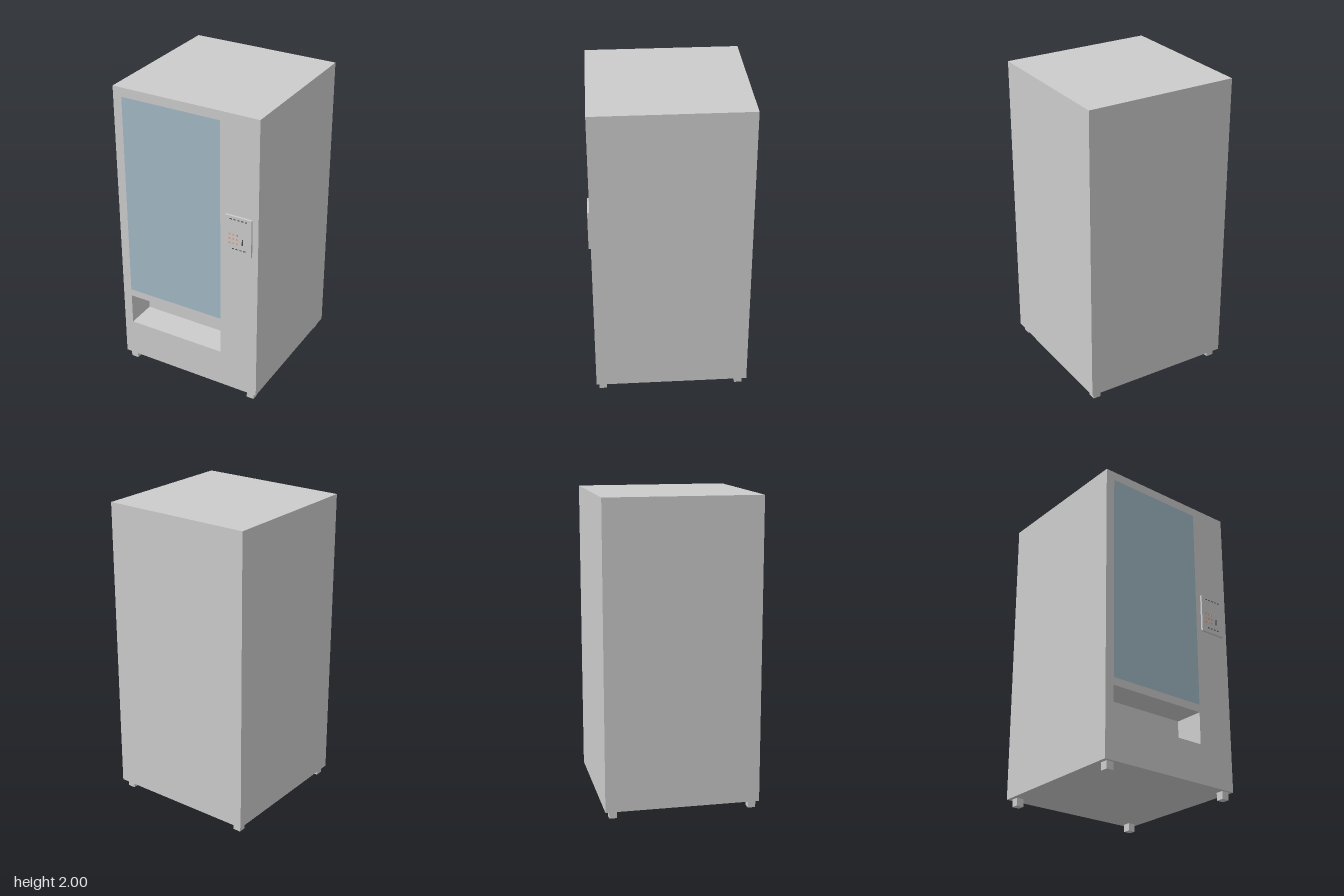
import * as THREE from 'three';

const grey = new THREE.MeshStandardMaterial({ color: 0xcccccc });
const glassBlue = new THREE.MeshStandardMaterial({ color: 0xa3b9c6 });
const orange = new THREE.MeshStandardMaterial({ color: 0xe0a080 });
const dark = new THREE.MeshStandardMaterial({ color: 0x444a4e });

const FRONT = 0.49, BACK = -0.505, BOTTOM = 0.05, TOP = 2;
const TRAY = { x0: -0.44, x1: 0.24, y0: 0.305, y1: 0.515, depth: 0.2 };

// box given by its limits on each axis
function box(name, [x0, x1], [y0, y1], [z0, z1], material = grey) {
  const mesh = new THREE.Mesh(new THREE.BoxGeometry(x1 - x0, y1 - y0, z1 - z0), material);
  mesh.position.set((x0 + x1) / 2, (y0 + y1) / 2, (z0 + z1) / 2);
  mesh.name = name;
  return mesh;
}

// remove the +z side of a box
function openFront(mesh) {
  const index = Array.from(mesh.geometry.index.array);
  index.splice(24, 6);
  mesh.geometry.clearGroups();
  mesh.geometry.setIndex(index);
  return mesh;
}

function rectangle(path, x0, x1, y0, y1) {
  path.moveTo(x0, y0);
  path.lineTo(x1, y0);
  path.lineTo(x1, y1);
  path.lineTo(x0, y1);
  path.closePath();
  return path;
}

export function createModel() {
  const model = new THREE.Group();
  model.name = 'vendingMachine';

  // cabinet sides, top, bottom and back
  model.add(openFront(box('cabinet', [-0.5, 0.5], [BOTTOM, TOP], [BACK, FRONT])));

  // front sheet with the collection opening cut out
  const sheet = rectangle(new THREE.Shape(), -0.5, 0.5, BOTTOM, TOP);
  sheet.holes.push(rectangle(new THREE.Path(), TRAY.x0, TRAY.x1, TRAY.y0, TRAY.y1));
  const front = new THREE.Mesh(new THREE.ShapeGeometry(sheet), grey);
  front.position.z = FRONT;
  front.name = 'frontPanel';
  model.add(front);

  // recessed collection tray, seen from inside
  const tray = openFront(box('collectionTray', [TRAY.x0, TRAY.x1], [TRAY.y0, TRAY.y1],
    [FRONT - TRAY.depth, FRONT], new THREE.MeshStandardMaterial({ color: 0xcccccc, side: THREE.DoubleSide })));
  model.add(tray);

  // display window, flush with the front
  const glass = new THREE.Mesh(new THREE.PlaneGeometry(0.68, 1.375), glassBlue);
  glass.position.set(-0.1, 1.2525, FRONT + 0.001);
  glass.name = 'displayWindow';
  model.add(glass);

  // payment panel with its small controls
  const panel = new THREE.Group();
  panel.name = 'paymentPanel';
  panel.add(box('panelPlate', [0.28, 0.46], [1.09, 1.345], [FRONT, 0.504]));
  const control = (name, x, y, w, h, material) => panel.add(
    box(name, [x - w / 2, x + w / 2], [y - h / 2, y + h / 2], [0.503, 0.505], material));
  for (let row = 0; row < 3; row++) {
    for (let col = 0; col < 3; col++) {
      control('keypadButton', 0.312 + col * 0.025, 1.22 - row * 0.03, 0.012, 0.012, orange);
    }
  }
  control('coinSlot', 0.4, 1.18, 0.008, 0.04, dark);
  for (let i = 0; i < 5; i++) control('displayMark', 0.32 + i * 0.026, 1.325, 0.014, 0.006, dark);
  for (let i = 0; i < 4; i++) control('lowerMark', 0.335 + i * 0.026, 1.122, 0.014, 0.006, dark);
  model.add(panel);

  // four feet
  for (const x of [-0.45, 0.45]) {
    for (const z of [-0.4525, 0.4475]) {
      model.add(box('foot', [x - 0.025, x + 0.025], [0, BOTTOM], [z - 0.025, z + 0.025]));
    }
  }
  return model;
}
